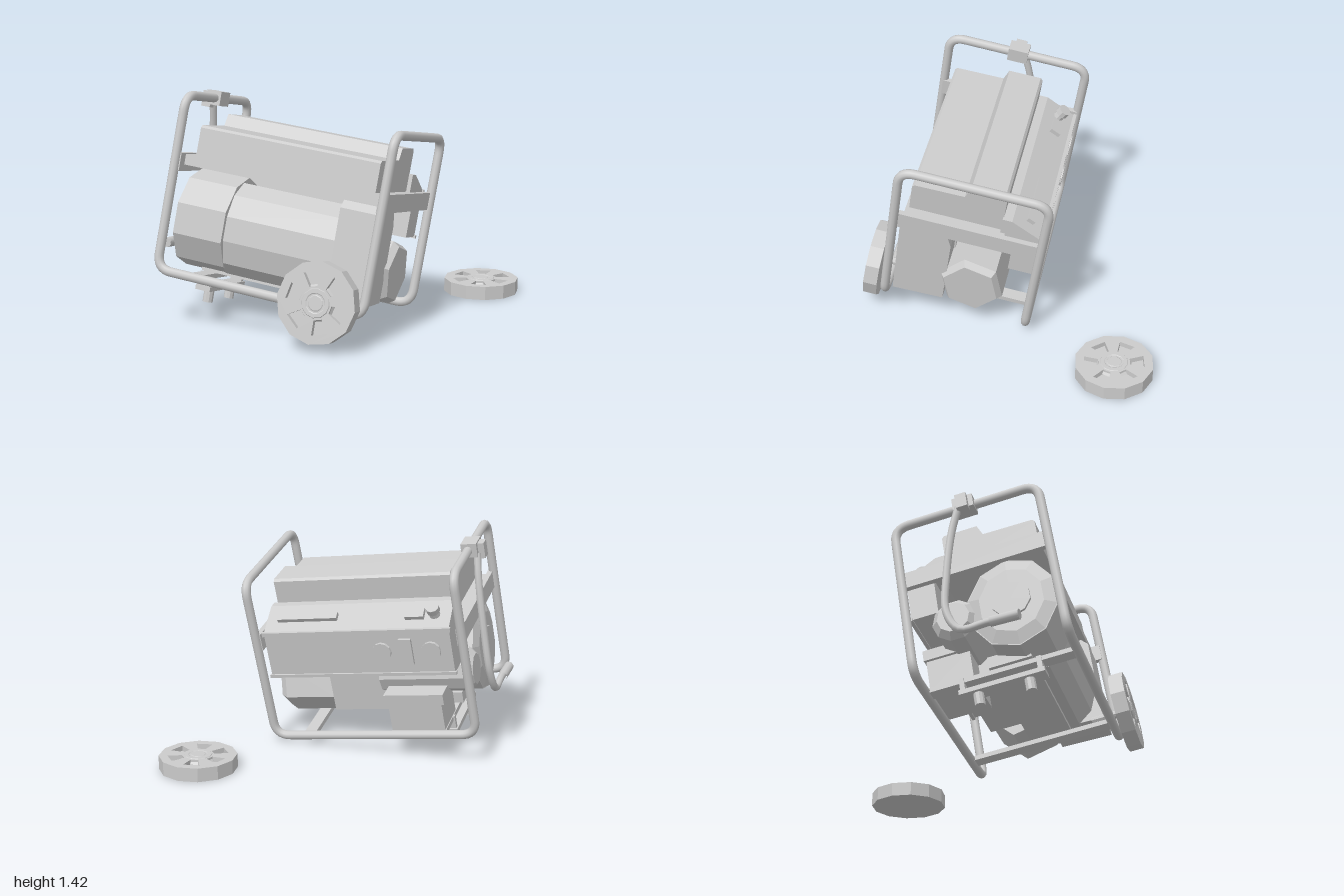
import * as THREE from 'three';

const flat = new THREE.MeshStandardMaterial({ color: 0xcccccc, flatShading: true });
const smooth = new THREE.MeshStandardMaterial({ color: 0xcccccc });
const V = (x, y, z) => new THREE.Vector3(x, y, z);

function add(parent, name, geometry, x = 0, y = 0, z = 0, material = flat) {
  const mesh = new THREE.Mesh(geometry, material);
  mesh.name = name;
  mesh.position.set(x, y, z);
  parent.add(mesh);
  return mesh;
}

// Box given by its minimum and maximum corners
function span(parent, name, [x0, y0, z0], [x1, y1, z1]) {
  return add(parent, name, new THREE.BoxGeometry(x1 - x0, y1 - y0, z1 - z0),
    (x0 + x1) / 2, (y0 + y1) / 2, (z0 + z1) / 2);
}

// Cylinder lying along x; rLeft is the radius at x0, rRight at x1, depth squeezes z
function barrel(parent, name, x0, x1, y, z, rLeft, rRight, sides, turn = 0, depth = 1) {
  const g = new THREE.CylinderGeometry(rLeft, rRight, x1 - x0, sides);
  g.rotateY(turn).rotateZ(Math.PI / 2).scale(1, 1, depth);
  return add(parent, name, g, (x0 + x1) / 2, y, z);
}

// Profile of (z, y) points extruded along x
function prism(parent, name, x0, x1, points) {
  const shape = new THREE.Shape(points.map(([z, y]) => new THREE.Vector2(-z, y)));
  const g = new THREE.ExtrudeGeometry(shape, { depth: x1 - x0, bevelEnabled: false });
  g.rotateY(Math.PI / 2);
  return add(parent, name, g, x0, 0, 0);
}

// Closed polyline with rounded corners
function roundedLoop(points, r) {
  const path = new THREE.CurvePath();
  const n = points.length;
  const toward = (a, b) => a.clone().add(b.clone().sub(a).setLength(r));
  for (let i = 0; i < n; i++) {
    const p = points[i], prev = points[(i + n - 1) % n], next = points[(i + 1) % n];
    path.add(new THREE.QuadraticBezierCurve3(toward(p, prev), p, toward(p, next)));
    path.add(new THREE.LineCurve3(toward(p, next), toward(next, p)));
  }
  return path;
}

// Wheel with its axis along y, resting on y = 0
function makeWheel(name) {
  const wheel = new THREE.Group();
  wheel.name = name;
  add(wheel, 'wheelDisc', new THREE.CylinderGeometry(0.245, 0.245, 0.055, 12), 0, 0.0275, 0);
  const polar = (r, t) => new THREE.Vector2(r * Math.cos(t), r * Math.sin(t));
  const face = new THREE.Shape(Array.from({ length: 12 }, (_, i) => polar(0.245, i * Math.PI / 6)));
  for (let i = 0; i < 6; i++) {
    const t = i * Math.PI / 3 - 0.21;
    face.holes.push(new THREE.Path([
      polar(0.1, t - 0.25), polar(0.19, t - 0.27), polar(0.19, t + 0.27), polar(0.1, t + 0.25)]));
  }
  const g = new THREE.ExtrudeGeometry(face, { depth: 0.033, bevelEnabled: false });
  g.rotateX(-Math.PI / 2);
  add(wheel, 'wheelFace', g, 0, 0.055, 0);
  const hub = [[0.112, 0.06], [0.085, 0.092], [0.062, 0.092], [0.057, 0.089], [0.048, 0.089], [0.043, 0.092], [0, 0.092]];
  add(wheel, 'wheelHub', new THREE.LatheGeometry(hub.map(([x, y]) => new THREE.Vector2(x, y)), 12));
  return wheel;
}

export function createModel() {
  const model = new THREE.Group();
  model.name = 'portableGenerator';

  // The generator leans; its parts are placed in its own axes
  const body = new THREE.Group();
  body.name = 'generator';
  body.quaternion.setFromRotationMatrix(new THREE.Matrix4().makeBasis(
    V(0.986, -0.12, -0.1155), V(0.0968, 0.977, -0.189), V(0.136, 0.175, 0.975)));
  body.position.set(-0.145, 0.197, 0.415);
  model.add(body);

  // Tubular frame, one continuous bent tube
  const [A, H, C] = [0.677, 1.075, 0.46];
  const frame = roundedLoop([
    V(-A, 0, C), V(-A, H, C), V(-A, H, -C), V(-A, 0, -C),
    V(A, 0, -C), V(A, H, -C), V(A, H, C), V(A, 0, C)], 0.1);
  add(body, 'frame', new THREE.TubeGeometry(frame, 400, 0.029, 10, true), 0, 0, 0, smooth);
  for (const s of [-1, 1]) {
    add(body, 'endBeam', new THREE.BoxGeometry(0.035, 0.11, 2 * C), s * 0.66, 0.67, 0);
  }
  for (const x of [-0.435, 0.44]) {
    add(body, 'crossBar', new THREE.BoxGeometry(0.08, 0.03, 2 * C), x, 0, 0);
  }

  // Fuel tank with raised rear half
  span(body, 'tankFlange', [-0.64, 0.655, -0.22], [0.64, 0.72, 0.405]);
  prism(body, 'tank', -0.58, 0.595, [
    [0.385, 0.7], [0.385, 0.895], [0.37, 0.91], [0.06, 0.915],
    [0.03, 0.99], [-0.18, 0.99], [-0.195, 0.975], [-0.195, 0.7]]);

  // Control console along the back
  prism(body, 'console', -0.6, 0.62, [
    [-0.45, 0.43], [-0.45, 0.73], [-0.25, 0.83], [-0.19, 0.83], [-0.19, 0.7], [-0.28, 0.68], [-0.28, 0.43]]);
  span(body, 'consoleLip', [-0.61, 0.71, -0.462], [0.63, 0.735, -0.44]);
  span(body, 'consoleLip', [-0.61, 0.42, -0.462], [0.63, 0.44, -0.44]);
  for (const x of [-0.15, -0.47]) {
    const socket = add(body, 'socket', new THREE.CylinderGeometry(0.062, 0.062, 0.03, 12), x, 0.585, -0.455);
    socket.rotation.x = Math.PI / 2;
  }
  add(body, 'breaker', new THREE.BoxGeometry(0.08, 0.17, 0.03), -0.31, 0.585, -0.455);
  const top = new THREE.Group();
  top.name = 'consoleTop';
  top.position.set(0, 0.78, -0.35);
  top.rotation.x = -Math.atan2(0.1, 0.2);
  body.add(top);
  add(top, 'gaugeBar', new THREE.BoxGeometry(0.4, 0.03, 0.05), 0.34, 0.012, 0);
  add(top, 'switchBox', new THREE.BoxGeometry(0.12, 0.03, 0.07), -0.37, 0.012, 0);
  add(top, 'knobNeck', new THREE.CylinderGeometry(0.03, 0.035, 0.04, 10), -0.495, 0.02, 0);
  add(top, 'knob', new THREE.CylinderGeometry(0.042, 0.042, 0.04, 10), -0.495, 0.055, 0);

  // Alternator drum, engine body and end block
  const turn = Math.PI / 10;
  barrel(body, 'drumHub', -0.665, -0.64, 0.33, 0.17, 0.12, 0.12, 10, turn);
  barrel(body, 'drumCover', -0.65, -0.625, 0.33, 0.17, 0.22, 0.3, 10, turn, 0.9);
  barrel(body, 'drum', -0.625, -0.3, 0.33, 0.17, 0.306, 0.306, 10, turn, 0.9);
  prism(body, 'engineBody', -0.31, 0.45, [
    [0.08, 0.05], [0.08, 0.59], [0.24, 0.605], [0.35, 0.53], [0.405, 0.4],
    [0.405, 0.25], [0.35, 0.11], [0.26, 0.04]]);
  prism(body, 'endBlock', 0.41, 0.645, [
    [0.415, 0.04], [0.42, 0.6], [0.38, 0.645], [0.14, 0.645], [0.09, 0.52], [0.09, 0.05]]);
  span(body, 'engineBase', [-0.5, 0.015, -0.06], [0.5, 0.09, 0.2]);
  span(body, 'crankcase', [-0.3, 0.09, -0.28], [0.3, 0.4, 0.1]);

  // Rear parts: starter housing, lower box, outlet and muffler
  barrel(body, 'starterCap', -0.66, -0.62, 0.325, -0.185, 0.1, 0.14, 10);
  barrel(body, 'starterHousing', -0.62, -0.05, 0.325, -0.185, 0.14, 0.14, 10);
  span(body, 'airBox', [-0.47, -0.005, -0.43], [-0.12, 0.2, -0.16]);
  span(body, 'airBoxLid', [-0.49, 0.2, -0.44], [-0.1, 0.27, -0.15]);
  span(body, 'outlet', [0.1, 0.43, -0.28], [0.45, 0.6, -0.2]);
  barrel(body, 'muffler', 0.3, 0.63, 0.225, -0.075, 0.21, 0.21, 6, 0.2);
  barrel(body, 'mufflerCap', 0.63, 0.67, 0.225, -0.075, 0.21, 0.18, 6, 0.2);

  // Hanging foot bracket
  add(body, 'footBar', new THREE.BoxGeometry(0.1, 0.03, 0.52), -0.445, -0.085, 0);
  for (const s of [-1, 1]) {
    add(body, 'footPost', new THREE.BoxGeometry(0.08, 0.1, 0.03), -0.445, -0.035, s * 0.235);
    add(body, 'foot', new THREE.CylinderGeometry(0.032, 0.032, 0.08, 10), -0.445, -0.14, s * 0.155);
  }

  // Axle stub with the mounted wheel
  const axle = add(body, 'axle', new THREE.CylinderGeometry(0.025, 0.025, 0.2, 10), 0.43, 0.046, 0.44);
  axle.rotation.x = Math.PI / 2;
  const mounted = makeWheel('mountedWheel');
  mounted.rotation.x = Math.PI / 2;
  mounted.position.set(0.43, 0.046, 0.515);
  body.add(mounted);

  // Clamp holding the folded pull handle
  add(body, 'handleClamp', new THREE.BoxGeometry(0.1, 0.09, 0.13), -0.685, 1.075, 0);
  add(body, 'handleHinge', new THREE.BoxGeometry(0.06, 0.1, 0.07), -0.745, 1.06, 0);
  const handle = new THREE.CatmullRomCurve3([
    V(-0.765, 1.3, 0.27), V(-0.79, 1.13, 0.24), V(-0.84, 0.8, 0.23), V(-0.877, 0.55, 0.25),
    V(-0.885, 0.42, 0.34), V(-0.865, 0.44, 0.5), V(-0.85, 0.46, 0.68)]);
  add(model, 'pullHandle', new THREE.TubeGeometry(handle, 40, 0.024, 8), 0, 0, 0, smooth);
  const grip = new THREE.LineCurve3(V(-0.866, 0.44, 0.52), V(-0.85, 0.46, 0.69));
  add(model, 'handleGrip', new THREE.TubeGeometry(grip, 1, 0.031, 10), 0, 0, 0, smooth);
  const tip = add(model, 'gripEnd', new THREE.CylinderGeometry(0.031, 0.031, 0.01, 10), -0.85, 0.46, 0.688);
  tip.rotation.x = Math.PI / 2;

  // Loose wheel lying on the ground
  const loose = makeWheel('looseWheel');
  loose.position.set(0.665, 0, -0.757);
  model.add(loose);

  return model;
}
